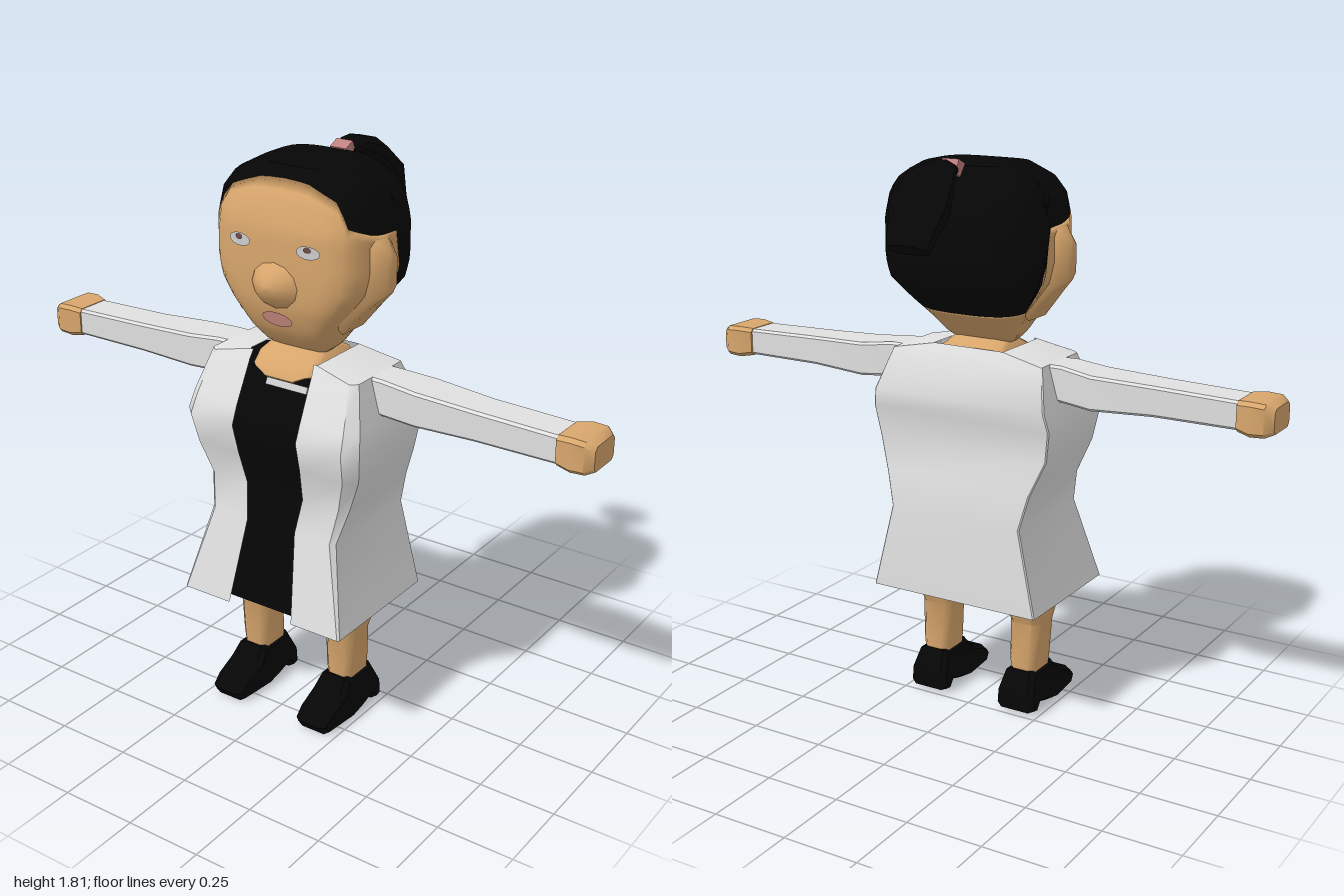
import * as THREE from 'three';
import { toCreasedNormals } from 'three/addons/utils/BufferGeometryUtils.js';

const mat = (name, color) => new THREE.MeshStandardMaterial({ name, color });
const V = (x, y, z) => new THREE.Vector3(x, y, z);
const { lerp, clamp, degToRad } = THREE.MathUtils;

// Surface through cross-sections; each ring turns anticlockwise about the loft direction
function loft(rings, { closed = true, caps = true, crease = 0.7 } = {}) {
  const pos = [], idx = [], n = rings[0].length;
  rings.forEach(r => r.forEach(p => pos.push(p.x, p.y, p.z)));
  for (let i = 0; i < rings.length - 1; i++)
    for (let j = 0; j < (closed ? n : n - 1); j++) {
      const k = (j + 1) % n, a = i * n + j, b = i * n + k;
      idx.push(a, b, b + n, a, b + n, a + n);
    }
  if (caps) for (const end of [0, rings.length - 1]) {
    const mid = rings[end].reduce((s, p) => s.add(p), V(0, 0, 0)).divideScalar(n);
    const m = pos.length / 3;
    pos.push(mid.x, mid.y, mid.z);
    for (let j = 0; j < n; j++) {
      const a = end * n + j, b = end * n + (j + 1) % n;
      if (end) idx.push(a, b, m); else idx.push(b, a, m);
    }
  }
  const g = new THREE.BufferGeometry();
  g.setAttribute('position', new THREE.Float32BufferAttribute(pos, 3));
  g.setIndex(idx);
  if (!crease) { g.computeVertexNormals(); return g; }
  return toCreasedNormals(g, crease);
}

// Chamfered rectangle at height y, with front chamfer c and back chamfer cb
const boxRing = (y, w, zf, zb, c, x = 0, cb = c) => [
  [-w + c, zf], [w - c, zf], [w, zf - c], [w, zb + cb],
  [w - cb, zb], [-w + cb, zb], [-w, zb + cb], [-w, zf - c]
].map(([px, z]) => V(x + px, y, z));

// Linear lookup in rows sorted by their first number
function sample(rows, t) {
  let i = 0;
  while (i < rows.length - 2 && t > rows[i + 1][0]) i++;
  const f = clamp((t - rows[i][0]) / (rows[i + 1][0] - rows[i][0]), 0, 1);
  return rows[i].map((v, k) => lerp(v, rows[i + 1][k], f));
}

// Head profile: height, half width, front z, back z
const HEAD = [
  [1.22, 0.09, 0.15, 0.08], [1.25, 0.125, 0.185, 0.04], [1.3, 0.155, 0.225, -0.01],
  [1.38, 0.215, 0.255, -0.09], [1.44, 0.258, 0.26, -0.137], [1.5, 0.27, 0.262, -0.145],
  [1.62, 0.27, 0.26, -0.145], [1.7, 0.26, 0.235, -0.12], [1.75, 0.225, 0.21, -0.1], [1.79, 0.15, 0.17, -0.07]
];
// Hairline: angle from the front, height
const HAIRLINE = [
  [0, 1.76], [10, 1.755], [20, 1.74], [35, 1.72], [48, 1.65], [60, 1.64], [91.5, 1.61],
  [94, 1.5], [96, 1.42], [100, 1.34], [180, 1.33]
];
const POWER = 0.52;
const bend = v => Math.sign(v) * Math.abs(v) ** POWER;
function headPoint(deg, y) {
  const [, w, zf, zb] = sample(HEAD, y), a = degToRad(deg);
  return V(w * bend(Math.sin(a)), y, (zf + zb) / 2 + (zf - zb) / 2 * bend(Math.cos(a)));
}
function faceZ(x, y) {
  const [, w, zf, zb] = sample(HEAD, y);
  const s = Math.min(1, Math.abs(x) / w) ** (1 / POWER);
  return (zf + zb) / 2 + (zf - zb) / 2 * (1 - s * s) ** (POWER / 2);
}

// Flat ellipse laid on the face
function facePlate(x, y, rx, ry, lift) {
  const g = new THREE.CircleGeometry(1, 14).scale(rx, ry, 1).translate(x, y, 0);
  const p = g.attributes.position;
  for (let i = 0; i < p.count; i++) p.setZ(i, faceZ(p.getX(i), p.getY(i)) + lift);
  g.computeVertexNormals();
  return g;
}

// Sideways limb on side s; rows: x, bottom y, top y, back z, front z
const limb = (rows, s, c, crease) => loft(rows.map(([x, y0, y1, z0, z1]) => {
  const r = [[y0, z0 + c], [y0 + c, z0], [y1 - c, z0], [y1, z0 + c], [y1, z1 - c], [y1 - c, z1], [y0 + c, z1], [y0, z1 - c]]
    .map(([y, z]) => V(s * x, y, z));
  return s > 0 ? r : r.reverse();
}), { crease });

export function createModel() {
  const model = new THREE.Group();
  const skin = mat('skin', 0xd8a66c), black = mat('black', 0x060606), white = mat('coatWhite', 0xe0e0e0);
  const pink = mat('bandPink', 0xc08080), lip = mat('lipPink', 0xd8948c);
  const grey = mat('paleGrey', 0xcccccc), iris = mat('irisBrown', 0x6a4a48);
  white.side = THREE.DoubleSide;
  const add = (name, geo, m) => {
    const mesh = new THREE.Mesh(geo, m);
    mesh.name = name;
    model.add(mesh);
    return mesh;
  };

  // Head and hair share one surface, divided at the hairline
  const half = [0, 4, 10, 20, 28, 35, 42, 48, 60, 75, 84, 88, 91.5, 94, 96, 100, 115, 130, 145, 160, 170, 176, 180];
  const angles = [...half, ...half.slice(1, -1).reverse().map(a => 360 - a)];
  const edge = a => sample(HAIRLINE, a > 180 ? 360 - a : a)[1];
  const skinRings = [], hairRings = [];
  for (let i = 0; i <= 18; i++) {
    const t = i / 18;
    skinRings.push(angles.map(a => headPoint(a, lerp(1.22, edge(a), t))));
    hairRings.push(angles.map(a => headPoint(a, lerp(edge(a), 1.79, t))));
  }
  hairRings.push(angles.map(() => V(0, 1.795, 0.05)));
  add('head', loft(skinRings, { crease: 0 }), skin);
  add('hair', loft(hairRings, { caps: false, crease: 0.6 }), black);

  // Face
  const noseProfile = [[0.09, 0], [0.075, 0.018], [0.045, 0.04], [0.02, 0.052], [0, 0.055]];
  const nose = new THREE.LatheGeometry(noseProfile.map(p => new THREE.Vector2(...p)), 12).rotateX(Math.PI / 2);
  add('nose', nose.scale(1, 0.85, 1), skin).position.set(0, 1.455, 0.25);
  add('lips', facePlate(0, 1.345, 0.055, 0.025, 0.006), lip);

  // Eyes and ears
  const ear = [[0.18, 1.31, 1.62, 0.04, 0.19], [0.262, 1.405, 1.61, 0.05, 0.16], [0.305, 1.445, 1.57, 0.075, 0.13]];
  for (const s of [1, -1]) {
    const side = s > 0 ? 'left' : 'right';
    add(side + 'Eye', facePlate(s * 0.122, 1.574, 0.04, 0.02, 0.005), grey);
    add(side + 'Iris', facePlate(s * 0.122, 1.583, 0.013, 0.009, 0.008), iris);
    add(side + 'Ear', limb(ear, s, 0.02, 1.2), skin);
  }

  // Ponytail: top z, top y, bottom z, bottom y, half width
  const tail = [
    [-0.1, 1.79, -0.11, 1.765, 0.03], [-0.155, 1.815, -0.14, 1.765, 0.05], [-0.22, 1.8, -0.2, 1.725, 0.08],
    [-0.285, 1.74, -0.255, 1.645, 0.1], [-0.36, 1.59, -0.31, 1.555, 0.07]
  ].map(([zt, yt, zb, yb, w]) => Array.from({ length: 8 }, (_, k) => {
    const a = (k + 0.5) * Math.PI / 4, f = 0.5 + 0.54 * Math.cos(a);
    return V(w * 1.08 * Math.sin(a), lerp(yb, yt, f), lerp(zb, zt, f));
  }));
  add('ponytail', loft(tail), black);
  const band = add('hairBand', new THREE.BoxGeometry(0.058, 0.045, 0.04), pink);
  band.position.set(0, 1.783, -0.092);
  band.rotation.x = 0.45;

  // Neck, spreading to fill the collar
  add('neck', loft([
    boxRing(1.1, 0.09, 0.2, 0.03, 0.03), boxRing(1.155, 0.07, 0.246, 0.01, 0.02),
    boxRing(1.175, 0.112, 0.238, 0.005, 0.02), boxRing(1.208, 0.112, 0.205, 0.005, 0.02),
    boxRing(1.24, 0.09, 0.16, 0.05, 0.03)
  ]), skin);

  // Coat: height, half width, front z, back z, chamfer, half opening
  const coat = [
    [0.4, 0.3, 0.36, -0.1, 0.006, 0.12], [0.68, 0.235, 0.295, -0.088, 0.015, 0.09],
    [0.79, 0.262, 0.272, -0.073, 0.025, 0.105], [0.9, 0.305, 0.3, -0.045, 0.035, 0.115],
    [1.0, 0.32, 0.325, -0.058, 0.04, 0.118], [1.06, 0.308, 0.3, -0.07, 0.035, 0.118],
    [1.19, 0.27, 0.235, -0.015, 0.02, 0.115], [1.218, 0.125, 0.22, 0, 0.006, 0.112]
  ];
  const coatRings = coat.map(([y, w, zf, zb, c, g]) => {
    const r = boxRing(y, w, zf, zb, c, 0, 0.004);
    return [V(g, y, zf), ...r.slice(1), r[0].clone(), V(-g, y, zf)];
  });
  add('coat', loft(coatRings, { closed: false, caps: false }), white);

  // Dress inside the coat
  const dress = [[0.405, 0.24, 0.325, -0.05, 0.03]];
  coat.slice(1, 6).forEach(([y, w, zf, zb, c]) => dress.push([y, w - 0.03, zf - 0.012, zb + 0.015, c]));
  dress.push([1.17, 0.2, 0.232, 0.01, 0.03]);
  add('dress', loft(dress.map(r => boxRing(...r))), black);
  const trim = add('necklace', new THREE.BoxGeometry(0.15, 0.022, 0.008), grey);
  trim.position.set(0.035, 1.142, 0.25);
  trim.rotation.x = -0.47;

  const sleeve = [
    [0.24, 1.08, 1.19, 0.03, 0.15], [0.31, 1.075, 1.19, 0.03, 0.155], [0.42, 1.068, 1.178, 0.012, 0.155],
    [0.62, 1.075, 1.17, 0.03, 0.155], [0.89, 1.075, 1.163, 0.032, 0.155]
  ];
  const hand = [
    [0.885, 1.072, 1.165, 0.025, 0.16], [0.93, 1.065, 1.17, 0.01, 0.168],
    [0.975, 1.068, 1.168, 0.01, 0.168], [1.0, 1.078, 1.155, 0.03, 0.15]
  ];

  // Shoe outline seen from the side, narrowed towards ankle and toe
  const shoe = new THREE.Shape([
    [0.185, 0.14], [0.05, 0.14], [0.015, 0.07], [0.015, 0.01], [0.05, 0], [0.07, 0.028], [0.13, 0.01],
    [0.18, 0], [0.31, 0], [0.335, 0.035], [0.295, 0.07], [0.22, 0.1]
  ].reverse().map(p => new THREE.Vector2(...p)));
  const shoeGeo = new THREE.ExtrudeGeometry(shoe, {
    depth: 0.1, bevelThickness: 0.02, bevelSize: 0.012, bevelOffset: -0.012, bevelSegments: 1
  }).translate(0, 0, -0.05).rotateY(-Math.PI / 2);
  const p = shoeGeo.attributes.position;
  for (let i = 0; i < p.count; i++) {
    const ankle = clamp((p.getY(i) - 0.05) / 0.09, 0, 1), toe = clamp((p.getZ(i) - 0.22) / 0.115, 0, 1);
    p.setX(i, p.getX(i) * (1 - 0.25 * ankle - 0.2 * toe));
  }
  shoeGeo.computeVertexNormals();

  // Arms and legs
  for (const s of [1, -1]) {
    const side = s > 0 ? 'left' : 'right';
    add(side + 'Sleeve', limb(sleeve, s, 0.008, 0.7), white);
    add(side + 'Hand', limb(hand, s, 0.012, 0.7), skin);
    add(side + 'Leg', loft([
      boxRing(0.1, 0.045, 0.175, 0.055, 0.02, s * 0.167), boxRing(0.17, 0.048, 0.182, 0.052, 0.02, s * 0.168),
      boxRing(0.3, 0.058, 0.182, 0.062, 0.025, s * 0.17), boxRing(0.41, 0.07, 0.225, 0.005, 0.03, s * 0.172),
      boxRing(0.5, 0.06, 0.22, 0, 0.03, s * 0.15)
    ], { crease: 0.9 }), skin);
    add(side + 'Shoe', shoeGeo, black).position.x = s * 0.168;
  }
  return model;
}
